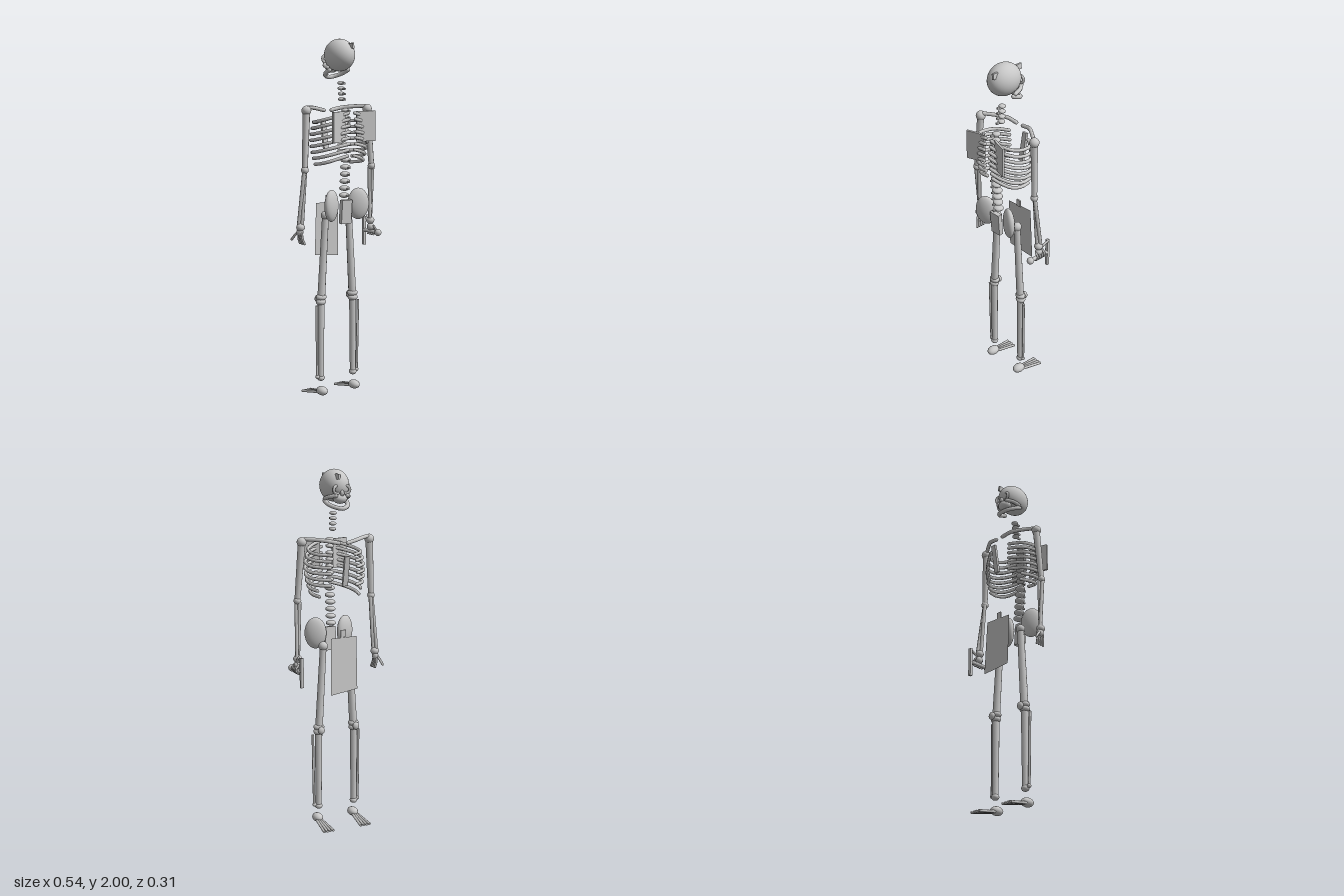
import * as THREE from 'three';

const bone = new THREE.MeshStandardMaterial({ color: 0xc8c8c8, side: THREE.DoubleSide });
bone.name = 'bone grey';
const V = (x, y, z) => new THREE.Vector3(x, y, z);

export function createModel() {
  const model = new THREE.Group();
  model.name = 'skeleton';

  const add = (name, geo, p = [0, 0, 0], r = [0, 0, 0]) => {
    const m = new THREE.Mesh(geo, bone);
    m.name = name;
    m.position.set(...p);
    m.rotation.set(...r);
    model.add(m);
    return m;
  };
  const ball = (name, p, rx, ry = rx, rz = rx, seg = 14) => {
    const m = add(name, new THREE.SphereGeometry(1, seg, Math.ceil(seg * 0.7)), p);
    m.scale.set(rx, ry, rz);
    return m;
  };
  const box = (name, p, s, r) => add(name, new THREE.BoxGeometry(...s), p, r);
  // Straight bone between two points
  const rod = (name, a, b, ra, rb = ra, seg = 8) => {
    const A = V(...a), B = V(...b), d = B.clone().sub(A);
    const m = add(name, new THREE.CylinderGeometry(rb, ra, d.length(), seg));
    m.position.copy(A).add(B).multiplyScalar(0.5);
    m.quaternion.setFromUnitVectors(V(0, 1, 0), d.normalize());
  };
  // Curved bone with closed ends
  const bend = (name, pts, r, n = 10) => {
    const c = new THREE.CatmullRomCurve3(pts.map(p => V(...p)));
    add(name, new THREE.TubeGeometry(c, n, r, 8));
    [pts[0], pts[pts.length - 1]].forEach(p => ball(name + 'End', p, r, r, r, 8));
  };

  // Skull and face
  ball('skull', [0, 1.912, 0.012], 0.077, 0.088, 0.098, 32);
  ball('upperJaw', [0, 1.845, -0.058], 0.04, 0.028, 0.036);
  ball('nose', [0, 1.875, -0.084], 0.012, 0.017, 0.012, 8);
  bend('jaw', [[-0.062, 1.832, 0.005], [-0.058, 1.815, -0.035], [-0.034, 1.8, -0.07],
    [0, 1.793, -0.082], [0.034, 1.8, -0.07], [0.058, 1.815, -0.035], [0.062, 1.832, 0.005]], 0.012, 16);
  for (const s of [-1, 1]) {
    add('eyeSocket', new THREE.TorusGeometry(0.021, 0.008, 8, 16), [s * 0.028, 1.893, -0.073], [0, s * 0.35, 0]);
    bend('cheekbone', [[s * 0.066, 1.845, -0.005], [s * 0.058, 1.855, -0.045], [s * 0.034, 1.862, -0.078]], 0.011, 8);
  }
  box('skullChip', [0.02, 1.962, 0.093], [0.012, 0.03, 0.035], [0, 0.08, 0.1]);
  box('skullChip', [0.02, 1.962, -0.07], [0.012, 0.03, 0.035], [0, 0.08, 0.1]);

  // Spine: neck, chest, lower back
  const vertebra = (y, z, r, h, back) => {
    ball('vertebra', [0, y, z], r, h / 2, r, 12);
    box('spinousProcess', [0, y - 0.002, z + r + back / 2 - 0.004], [0.01, 0.01, back]);
  };
  for (let i = 0; i < 4; i++) vertebra(1.762 - i * 0.029, 0.026 + i * 0.002, 0.02, 0.022, 0.02);
  for (let i = 0; i < 7; i++) vertebra(1.615 - i * 0.037, 0.068, 0.023, 0.025, 0.022);
  for (let i = 0; i < 6; i++) vertebra(1.345 - i * 0.039, 0.07 - i * 0.003, 0.029, 0.03, 0.016);

  // Rib cage
  for (let i = 0; i < 8; i++) {
    const y = 1.602 - i * 0.033;
    const k = 0.8 + 0.2 * Math.sin(Math.PI * (i + 1) / 8);
    const w = 0.166 * k, zb = 0.136 - 0.1 * (1 - k), zf = -0.108 * k;
    for (const s of [-1, 1]) {
      const pts = [[s * 0.022, y, zb], [s * w * 0.5, y - 0.012, zb - 0.01], [s * w * 0.9, y - 0.032, 0.07],
        [s * w, y - 0.045, 0.01], [s * w * 0.9, y - 0.052, -0.05]];
      if (i < 6) pts.push([s * w * 0.5, y - 0.056, zf]);
      bend('rib', pts, 0.0095, 10);
    }
  }
  box('sternum', [0, 1.462, -0.13], [0.03, 0.165, 0.015], [-0.17, 0, 0]);

  // Pelvis and loin cloth
  box('sacrum', [0, 1.06, 0.07], [0.066, 0.132, 0.026], [0.08, 0, 0]);
  const cloth = new THREE.PlaneGeometry(1, 1);
  const cp = cloth.attributes.position;
  for (let i = 0; i < cp.count; i++) {
    const low = cp.getY(i) < 0, side = Math.sign(cp.getX(i));
    cp.setXYZ(i, side * (low ? 0.084 : 0.08) + (low ? 0.003 : 0),
      low ? 0.79 - side * 0.01 : 1.095, (low ? -0.118 : -0.106) - side * 0.006);
  }
  cloth.computeVertexNormals();
  add('loinCloth', cloth);
  box('clothTab', [0, 1.115, -0.098], [0.03, 0.04, 0.008]);

  for (const s of [-1, 1]) {
    // Flattened hip bone turned inward
    ball('hipBone', [s * 0.091, 1.098, 0.064], 0.061, 0.088, 0.029, 20).rotation.y = -s * 0.45;
    box('shoulderBlade', [s * 0.09, 1.53, 0.132], [0.107, 0.165, 0.012], [0, -s * 0.32, 0]);
    bend('collarBone', [[s * 0.19, 1.632, -0.015], [s * 0.135, 1.629, -0.056], [s * 0.082, 1.622, -0.09],
      [s * 0.025, 1.61, -0.1]], 0.011);

    // Arm
    ball('shoulder', [s * 0.205, 1.616, -0.008], 0.027);
    rod('upperArm', [s * 0.205, 1.61, -0.008], [s * 0.226, 1.3, 0.006], 0.021, 0.016);
    ball('elbow', [s * 0.226, 1.297, 0.006], 0.021);
    rod('forearmOuter', [s * 0.232, 1.29, 0.008], [s * 0.246, 0.99, -0.028], 0.011, 0.01);
    rod('forearmInner', [s * 0.218, 1.29, -0.003], [s * 0.232, 0.99, -0.014], 0.011, 0.01);
    ball('wrist', [s * 0.239, 0.982, -0.019], 0.024, 0.022, 0.024);

    // Leg
    ball('hipJoint', [s * 0.079, 1.036, -0.01], 0.026);
    rod('thigh', [s * 0.079, 1.036, -0.01], [s * 0.107, 0.58, -0.012], 0.019, 0.022, 10);
    ball('kneeUpper', [s * 0.108, 0.578, -0.012], 0.032, 0.02, 0.026);
    ball('kneeLower', [s * 0.11, 0.552, -0.012], 0.03, 0.02, 0.026);
    ball('kneeCap', [s * 0.108, 0.565, -0.045], 0.02, 0.022, 0.014);
    rod('shin', [s * 0.11, 0.55, -0.012], [s * 0.111, 0.12, -0.012], 0.021, 0.017, 10);
    rod('calfBone', [s * 0.143, 0.535, -0.006], [s * 0.138, 0.13, -0.01], 0.007);
    ball('ankleOuter', [s * 0.136, 0.125, -0.01], 0.012);
    ball('ankle', [s * 0.111, 0.116, -0.012], 0.022, 0.018, 0.022);
    ball('heel', [s * 0.112, 0.043, 0], 0.029, 0.025, 0.04);
    for (let i = 0; i < 4; i++)
      rod('toe', [s * (0.1 + i * 0.009), 0.034, -0.02], [s * (0.086 + i * 0.019), 0.01, -0.153], 0.0075);
  }

  // Open right hand
  ball('palm', [-0.24, 0.955, -0.024], 0.018, 0.022, 0.022, 10);
  for (let i = 0; i < 4; i++)
    bend('finger', [[-0.24, 0.95, -0.034 + i * 0.01], [-0.238, 0.92, -0.042 + i * 0.014],
      [-0.23, 0.892, -0.04 + i * 0.016]], 0.006, 5);
  bend('thumb', [[-0.245, 0.96, -0.03], [-0.254, 0.935, -0.055], [-0.261, 0.912, -0.073]], 0.007, 5);

  // Left hand gripping a broken hilt
  ball('palm', [0.241, 0.945, -0.02], 0.02, 0.022, 0.022, 10);
  for (let i = 0; i < 4; i++)
    bend('finger', [[0.245, 0.95, -0.045 + i * 0.017], [0.262, 0.925, -0.047 + i * 0.017],
      [0.244, 0.902, -0.047 + i * 0.017]], 0.006, 6);
  bend('thumb', [[0.245, 0.965, -0.03], [0.252, 0.985, -0.05], [0.258, 1.0, -0.075]], 0.007, 5);
  rod('hilt', [0.244, 0.918, 0.045], [0.244, 0.918, -0.08], 0.011);
  ball('pommel', [0.244, 0.918, 0.047], 0.02);
  box('crossGuard', [0.244, 0.915, -0.084], [0.017, 0.165, 0.016]);

  return model;
}
